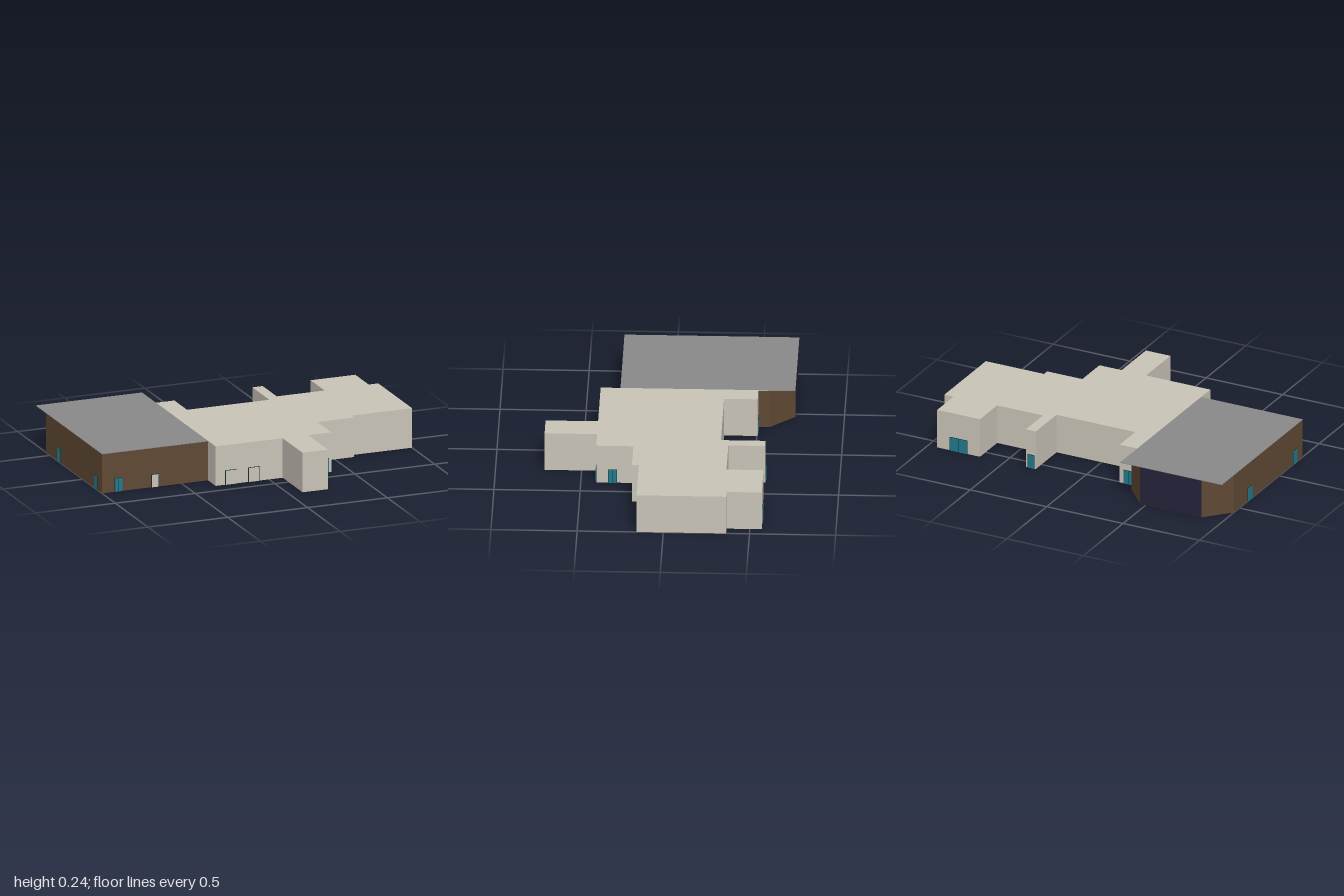
import * as THREE from 'three';

const mat = (name, color) => {
  const m = new THREE.MeshStandardMaterial({ color });
  m.name = name;
  return m;
};

export function createModel() {
  const stone = mat('beige stone', 0xc8c3b7);
  const brown = mat('dark brown cladding', 0x5f4833);
  const grey = mat('grey roof', 0x888888);
  const teal = mat('teal door', 0x1f7a8c);
  const navy = mat('navy cladding', 0x25243a);
  const dark = mat('door gap', 0x173238);

  const H = 0.24;
  const model = new THREE.Group();
  model.name = 'building';

  const add = (name, geometry, material, parent = model) => {
    const m = new THREE.Mesh(geometry, material);
    m.name = name;
    parent.add(m);
    return m;
  };

  // Upright prism over a floor plan given as [x, z] corners
  const prism = (plan, height) => {
    const shape = new THREE.Shape(plan.map(([x, z]) => new THREE.Vector2(x, -z)));
    return new THREE.ExtrudeGeometry(shape, { depth: height, bevelEnabled: false }).rotateX(-Math.PI / 2);
  };

  // Main stone block with its projecting wings
  add('mainBlock', prism([
    [-0.335, 0.41], [0.085, 0.41], [0.085, 0.715], [0.245, 0.715], [0.245, 0.41], [0.39, 0.41],
    [0.39, 0.195], [0.62, 0.195], [0.62, 0.155], [1, 0.155], [1, -0.365], [0.94, -0.365],
    [0.94, -0.57], [0.66, -0.57], [0.66, -0.355], [0.36, -0.355], [0.36, -0.57], [0.295, -0.57],
    [0.295, -0.31], [-0.22, -0.31], [-0.22, -0.505], [-0.335, -0.505],
  ], H), stone);

  // Hall with chamfered rear corners; caps are stone, walls brown
  add('hall', prism([
    [-0.998, 0.293], [-0.332, 0.293], [-0.332, -0.57], [-0.465, -0.715], [-0.865, -0.715], [-0.998, -0.57],
  ], H - 0.003), [stone, brown]);
  add('hallBackPanel', new THREE.BoxGeometry(0.4, H - 0.003, 0.006).translate(-0.665, (H - 0.003) / 2, -0.715), navy);

  // Flat roof overhanging the chamfered corners
  add('hallRoof', new THREE.BoxGeometry(0.665, 0.003, 1.015).translate(-0.6675, H - 0.0015, -0.2125), grey);

  // Door: thin leaves over a slightly larger dark backing, facing +z before turning
  const door = (name, x, z, width, height, turn, material, leaves = 2) => {
    const g = new THREE.Group();
    g.name = name;
    g.position.set(x, 0, z);
    g.rotation.y = turn;
    add('frame', new THREE.BoxGeometry(width, height, 0.004).translate(0, height / 2, 0), dark, g);
    const gap = 0.003, w = (width - gap * (leaves + 1)) / leaves;
    for (let i = 0; i < leaves; i++) {
      const cx = -width / 2 + gap + w / 2 + i * (w + gap);
      add('leaf', new THREE.BoxGeometry(w, height - gap, 0.008).translate(cx, (height - gap) / 2, 0), material, g);
    }
    model.add(g);
  };
  const FRONT = 0, BACK = Math.PI, EAST = Math.PI / 2, WEST = -Math.PI / 2;

  door('hallFrontDoor', -0.895, 0.293, 0.05, 0.083, FRONT, teal);
  door('hallServiceDoor', -0.667, 0.293, 0.048, 0.078, FRONT, stone, 1);
  door('frontDoorA', -0.238, 0.41, 0.074, 0.088, FRONT, stone, 1);
  door('frontDoorB', -0.096, 0.41, 0.07, 0.088, FRONT, stone, 1);
  door('entranceFrontDoor', 0.35, 0.41, 0.05, 0.086, FRONT, teal);
  door('entranceSideDoor', 0.39, 0.315, 0.052, 0.086, EAST, teal);
  door('hallSideDoorFront', -0.998, 0.2, 0.05, 0.083, WEST, teal);
  door('hallSideDoorRear', -0.998, -0.365, 0.06, 0.083, WEST, teal);
  door('rearWingDoor', 0.8, -0.57, 0.115, 0.086, BACK, teal);
  door('narrowWingDoor', 0.325, -0.57, 0.045, 0.086, BACK, teal);
  door('rearCornerDoor', -0.28, -0.505, 0.07, 0.086, BACK, teal);

  return model;
}
